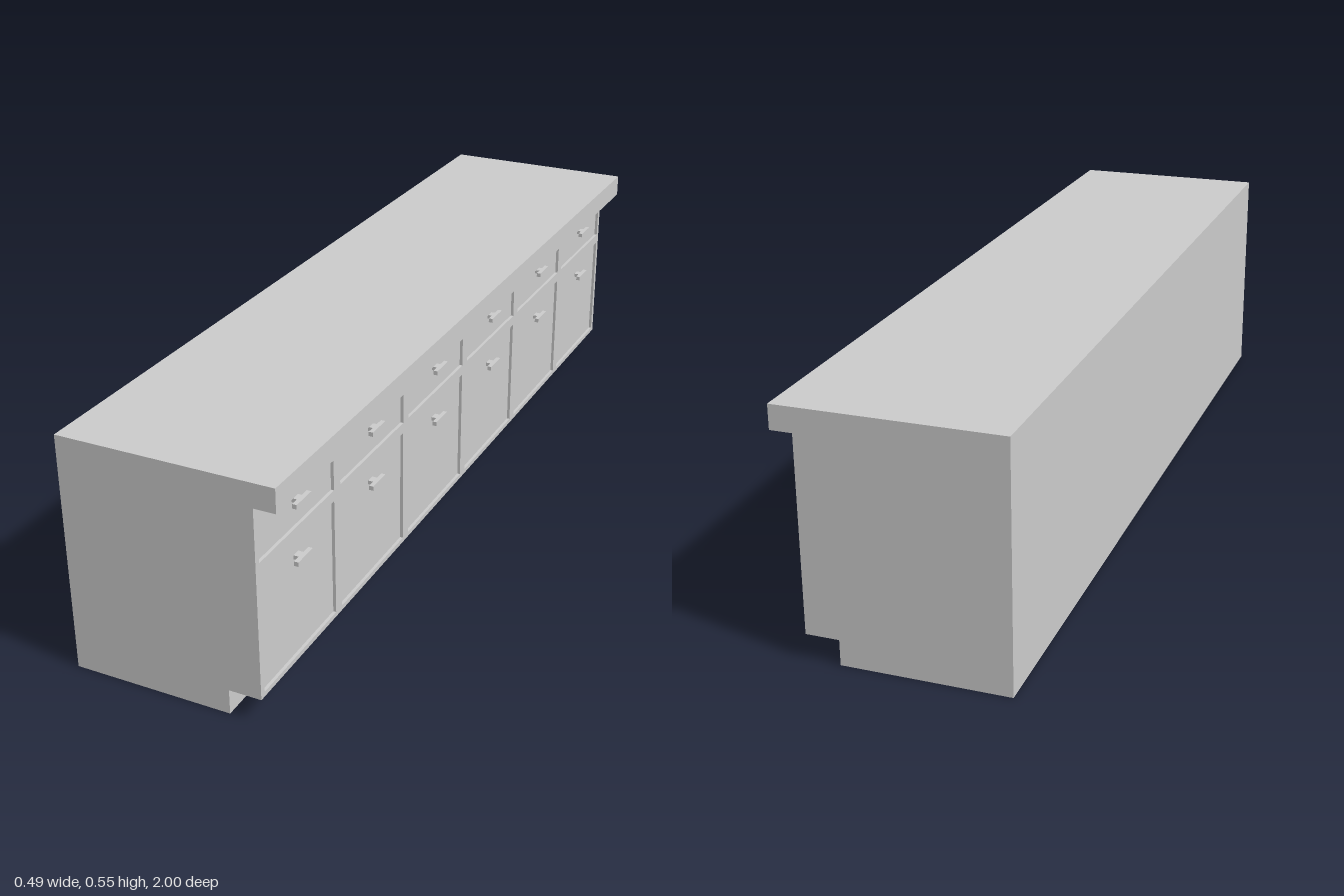
import * as THREE from 'three';

const HALF_D = 0.245, HALF_L = 1;
const FACE_X = 0.196, PANEL_X = 0.189; // frame face and recessed panel face
const KICK_X = 0.122, KICK_Y = 0.057;
const TOP_Y = 0.545, TOP_UNDER = 0.491;
const COLUMNS = 6, PITCH = 2 * HALF_L / COLUMNS, MARGIN = 0.014;
const DOOR = [0.068, 0.34], DRAWER = [0.365, 0.477];

const material = new THREE.MeshStandardMaterial({ color: 0xcccccc, flatShading: true });

function mesh(name, geometry) {
  const m = new THREE.Mesh(geometry, material);
  m.name = name;
  return m;
}

function box(name, w, h, d, x, y, z) {
  const m = mesh(name, new THREE.BoxGeometry(w, h, d));
  m.position.set(x, y, z);
  return m;
}

// Rectangle corners, for outlines and openings
function rect(x0, y0, x1, y1) {
  return [[x0, y0], [x1, y0], [x1, y1], [x0, y1]].map(p => new THREE.Vector2(...p));
}

// Bar pull on a short centre post
function handle(y, z) {
  const g = new THREE.Group();
  g.name = 'handle';
  g.add(box('handlePost', 0.202 - PANEL_X, 0.009, 0.02, (0.202 + PANEL_X) / 2, 0, 0));
  g.add(box('handleBar', 0.01, 0.01, 0.06, 0.206, 0, 0));
  g.position.set(0, y, z);
  return g;
}

export function createModel() {
  const model = new THREE.Group();
  model.name = 'counter';

  // Carcass with overhanging worktop and recessed toe kick, one end profile
  const profile = new THREE.Shape([
    [-HALF_D, 0], [KICK_X, 0], [KICK_X, KICK_Y], [PANEL_X, KICK_Y],
    [PANEL_X, TOP_UNDER], [HALF_D, TOP_UNDER], [HALF_D, TOP_Y], [-HALF_D, TOP_Y],
  ].map(p => new THREE.Vector2(...p)));
  const body = mesh('carcassAndWorktop',
    new THREE.ExtrudeGeometry(profile, { depth: 2 * HALF_L, bevelEnabled: false }));
  body.position.z = -HALF_L;
  model.add(body);

  // Face frame with an opening for every door and drawer
  const frame = new THREE.Shape(rect(-HALF_L, KICK_Y, HALF_L, TOP_UNDER));
  for (let i = 0; i < COLUMNS; i++) {
    const z = -HALF_L + (i + 0.5) * PITCH;
    const half = PITCH / 2 - MARGIN;
    for (const [y0, y1] of [DOOR, DRAWER]) {
      frame.holes.push(new THREE.Path(rect(z - half, y0, z + half, y1).reverse()));
    }
    model.add(handle(0.295, z), handle(0.425, z));
  }
  const faceFrame = mesh('faceFrame',
    new THREE.ExtrudeGeometry(frame, { depth: FACE_X - PANEL_X, bevelEnabled: false }));
  faceFrame.rotation.y = Math.PI / 2;
  faceFrame.position.x = PANEL_X;
  model.add(faceFrame);

  return model;
}
